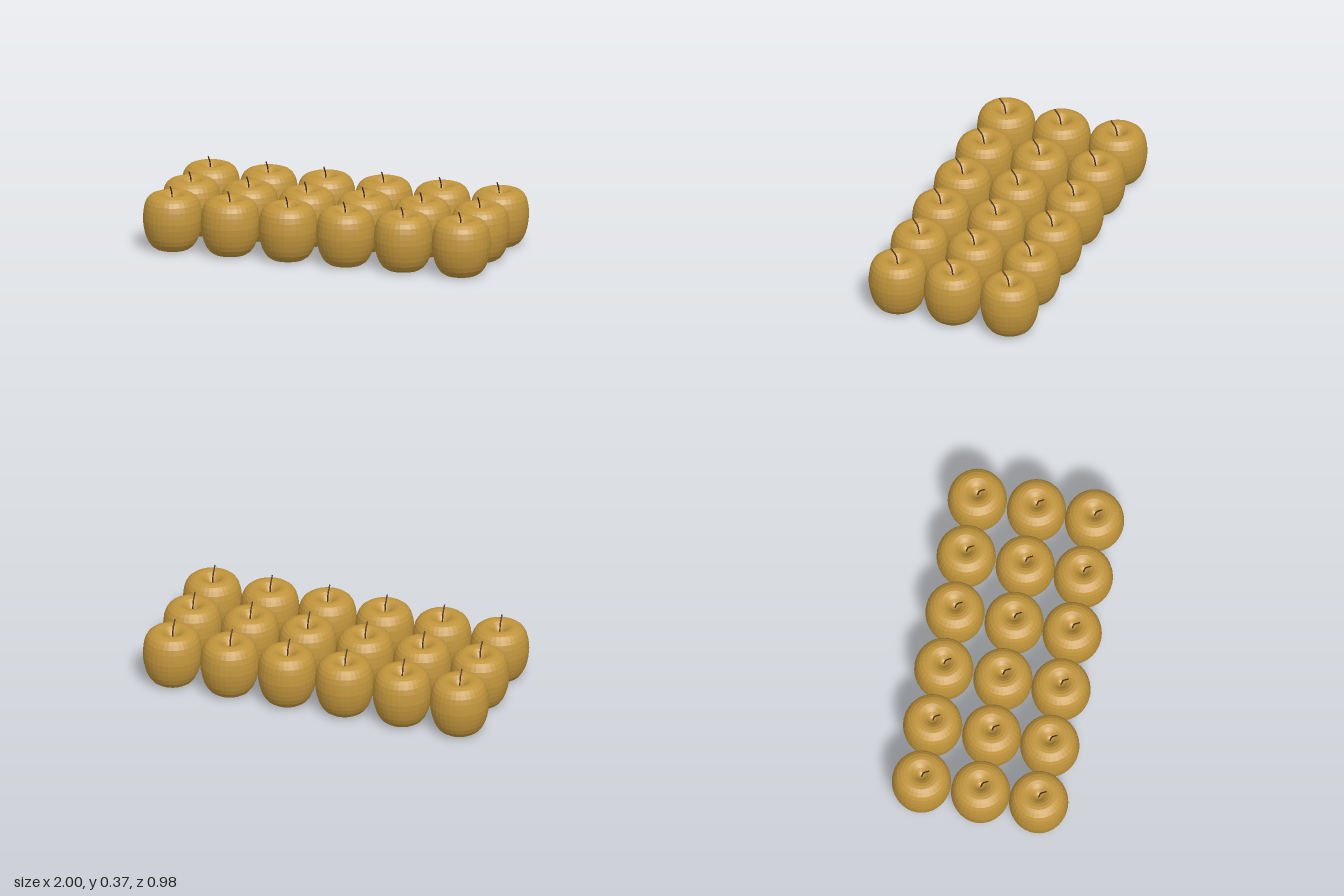
import * as THREE from 'three';

const skin = new THREE.MeshStandardMaterial({ color: 0xc0943c, flatShading: true });
const bark = new THREE.MeshStandardMaterial({ color: 0x4a3026, flatShading: true });

// Apple outline, from the dimple under the base up to the stem dimple
const profile = [
  [0, 0.02], [0.035, 0.013], [0.055, 0.004], [0.072, 0.002], [0.092, 0.007], [0.114, 0.022],
  [0.132, 0.046], [0.145, 0.075], [0.154, 0.107], [0.16, 0.14], [0.163, 0.174],
  [0.161, 0.207], [0.157, 0.238], [0.149, 0.268], [0.136, 0.291], [0.117, 0.307],
  [0.096, 0.315], [0.078, 0.316], [0.058, 0.31], [0.038, 0.295], [0.02, 0.275], [0, 0.262],
].map(([r, y]) => new THREE.Vector2(r, y));

// Bent stem, leaning towards the front
const stemPath = new THREE.CurvePath();
const bends = [[0.255, 0], [0.312, 0.009], [0.33, 0.015], [0.365, 0.041]]
  .map(([y, z]) => new THREE.Vector3(0, y, z));
for (let i = 1; i < bends.length; i++) stemPath.add(new THREE.LineCurve3(bends[i - 1], bends[i]));

// Flat cap on the free end of the stem
function stemCap(radius) {
  const cap = new THREE.CircleGeometry(radius, 6);
  const dir = bends[3].clone().sub(bends[2]).normalize();
  cap.applyQuaternion(new THREE.Quaternion().setFromUnitVectors(new THREE.Vector3(0, 0, 1), dir));
  return cap.translate(bends[3].x, bends[3].y, bends[3].z);
}

export function createModel() {
  const group = new THREE.Group();
  group.name = 'appleTray';
  const bodyGeo = new THREE.LatheGeometry(profile, 32);
  const stemGeo = new THREE.TubeGeometry(stemPath, 12, 0.004, 6);
  const capGeo = stemCap(0.004);

  // Three rows of six apples
  for (const z of [-0.327, 0.003, 0.327]) {
    for (let col = 0; col < 6; col++) {
      const apple = new THREE.Group();
      apple.name = 'apple';
      const parts = [['body', bodyGeo, skin], ['stem', stemGeo, bark], ['stemTip', capGeo, bark]];
      for (const [name, geo, mat] of parts) {
        const mesh = new THREE.Mesh(geo, mat);
        mesh.name = name;
        apple.add(mesh);
      }
      apple.position.set((col - 2.5) * 0.3345, 0, z);
      group.add(apple);
    }
  }
  return group;
}
